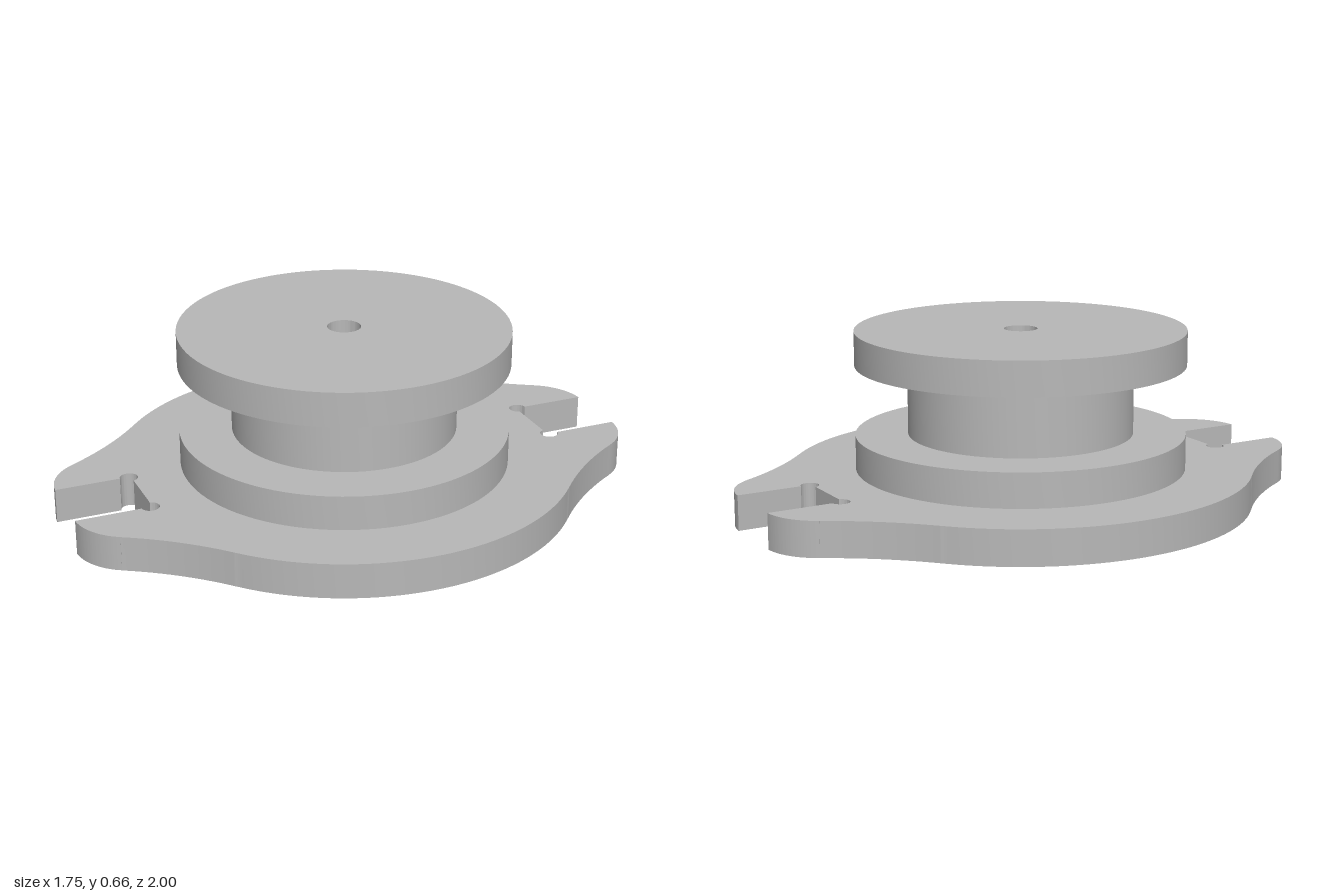
import * as THREE from 'three';
import { toCreasedNormals } from 'three/addons/utils/BufferGeometryUtils.js';

const PLATE_TOP = 0.132;
const BORE = 0.063;
const NOTCH_ANGLE = THREE.MathUtils.degToRad(53.75);

// Outline drawn with the notch axis along +x; the second half is the first turned by 180 degrees
function plateShape() {
  const shape = new THREE.Shape();
  for (const turn of [0, 180]) {
    const k = turn ? -1 : 1;
    const arc = (x, y, r, from, to, clockwise) => shape.absarc(
      k * x, k * y, r,
      THREE.MathUtils.degToRad(from + turn), THREE.MathUtils.degToRad(to + turn), clockwise);
    arc(1.61, -1.433, 1.28, 138.3, 119.3, true);     // concave flank
    arc(0.876, -0.124, 0.22, -60.7, -2.6, false);    // horn
    arc(0.815, -0.131, 0.034, -5, -256.4, true);     // corner relief
    arc(0.815, 0.131, 0.034, 256.4, 5, true);        // corner relief
    arc(0.876, 0.124, 0.22, 2.6, 60.7, false);       // horn
    arc(1.61, 1.433, 1.28, 240.7, 221.7, true);      // concave flank
    arc(0, 0, 0.875, 41.7, 138.3, false);            // round body
  }
  shape.closePath();
  const bore = new THREE.Path();
  bore.absarc(0, 0, BORE, 0, Math.PI * 2, true);
  shape.holes.push(bore);
  return shape;
}

export function createModel() {
  const group = new THREE.Group();
  group.name = 'notchedSpool';
  const grey = new THREE.MeshStandardMaterial({ color: 0xb8b8b8 });
  grey.name = 'plain grey';

  const add = (name, geometry) => {
    const mesh = new THREE.Mesh(toCreasedNormals(geometry, 0.5), grey);
    mesh.name = name;
    group.add(mesh);
  };

  // Base plate with two opposite notches
  const plate = new THREE.ExtrudeGeometry(plateShape(), {
    depth: PLATE_TOP, bevelEnabled: false, curveSegments: 28,
  });
  plate.rotateZ(NOTCH_ANGLE).rotateX(-Math.PI / 2);
  add('basePlate', plate);

  // Spool: lower flange, drum, upper flange and central bore
  const profile = [
    [0.623, PLATE_TOP], [0.623, 0.263], [0.425, 0.263], [0.425, 0.528],
    [0.623, 0.528], [0.623, 0.658], [BORE, 0.658], [BORE, PLATE_TOP],
  ].map(([r, y]) => new THREE.Vector2(r, y));
  add('spool', new THREE.LatheGeometry(profile, 96));

  return group;
}
